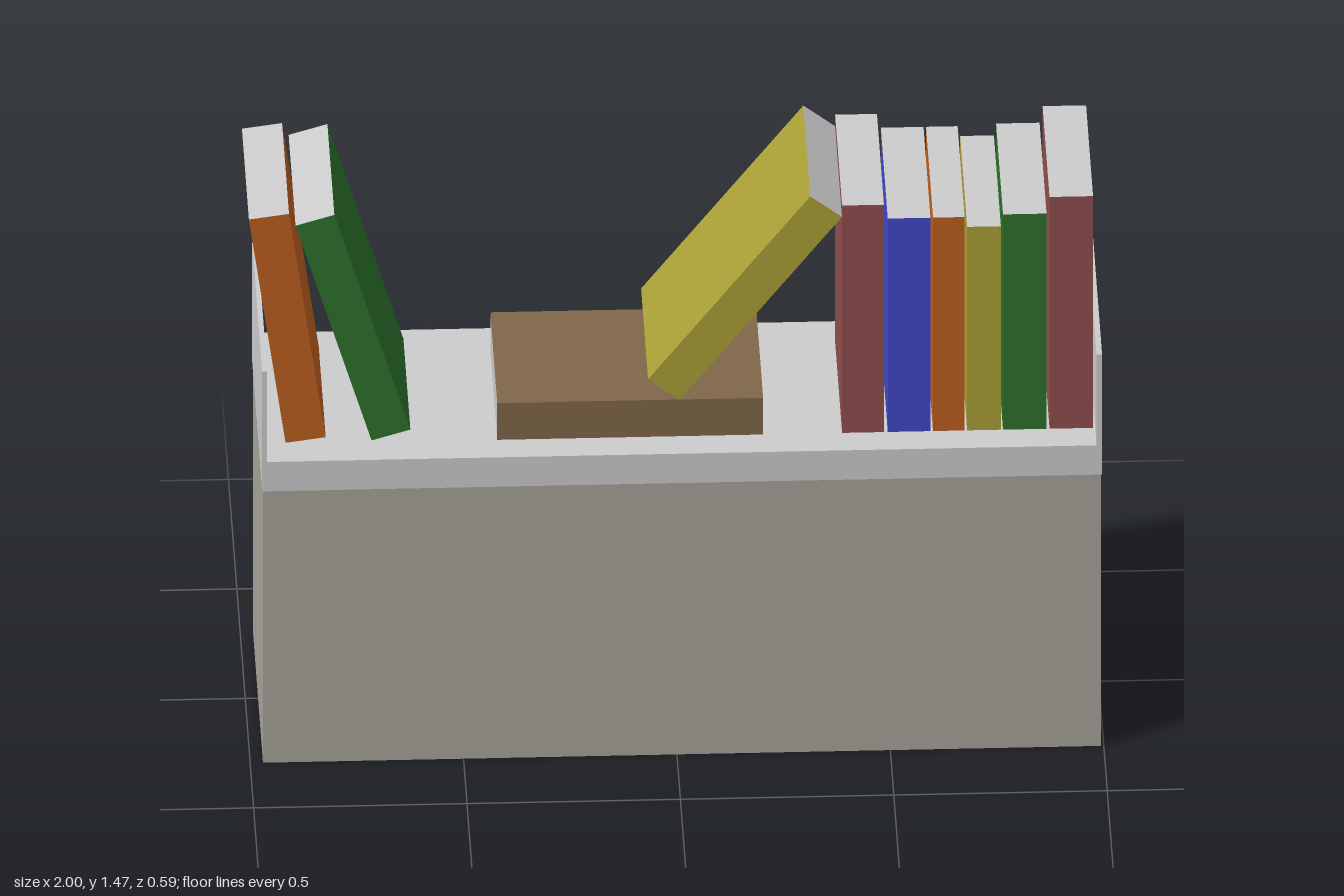
import * as THREE from 'three';

const material = (name, color) => {
  const m = new THREE.MeshStandardMaterial({ color });
  m.name = name;
  return m;
};

export function createModel() {
  const model = new THREE.Group();
  model.name = 'bookShelf';

  const paper = material('lightGrey', 0xcccccc);
  const stone = material('warmGrey', 0xa6a399);
  const red = material('red', 0x904e4e);
  const blue = material('blue', 0x4147c8);
  const orange = material('orange', 0xbd5f20);
  const yellow = material('yellow', 0xaa9f36);
  const green = material('green', 0x2c722d);
  const brown = material('brown', 0x7f6749);

  // Box given by its x and y limits, spanning the full depth of the shelf
  const block = (name, x0, x1, y0, y1, mat) => {
    const mesh = new THREE.Mesh(new THREE.BoxGeometry(x1 - x0, y1 - y0, 0.59), mat);
    mesh.name = name;
    mesh.position.set((x0 + x1) / 2, (y0 + y1) / 2, 0);
    model.add(mesh);
  };

  // Base, board and the two end panels
  block('base', -0.97, 0.994, 0, 0.74, stone);
  block('shelfBoard', -0.96, 0.983, 0.74, 0.82, paper);
  block('rightEndPanel', -0.972, -0.96, 0.74, 1.067, paper);
  block('leftEndPanel', 0.983, 0.996, 0.74, 1.067, paper);

  // Book standing on the middle of its lower edge: coloured covers and spine, pale pages
  const book = (name, x, y, width, height, cover, tilt = 0) => {
    const geometry = new THREE.BoxGeometry(width, height, 0.415).translate(0, height / 2, 0);
    const mesh = new THREE.Mesh(geometry, [cover, cover, paper, paper, cover, paper]);
    mesh.name = name;
    mesh.position.set(x, y, 0.0075);
    mesh.rotation.z = THREE.MathUtils.degToRad(tilt);
    model.add(mesh);
  };

  // Row of upright books: name, x limits, top, cover
  [
    ['firstRedBook', 0.39, 0.488, 1.44, red],
    ['blueBook', 0.497, 0.597, 1.402, blue],
    ['orangeBook', 0.603, 0.677, 1.402, orange],
    ['yellowBook', 0.683, 0.762, 1.375, yellow],
    ['greenBook', 0.767, 0.869, 1.407, green],
    ['lastRedBook', 0.876, 0.978, 1.452, red],
  ].forEach(([name, x0, x1, top, cover]) =>
    book(name, (x0 + x1) / 2, 0.82, x1 - x0, top - 0.82, cover));

  // Leaning books and the one lying flat
  book('leaningOrangeBook', -0.867, 0.83, 0.095, 0.617, orange, 8);
  book('leaningGreenBook', -0.667, 0.839, 0.095, 0.616, green, 16.8);
  book('leaningYellowBook', -0.0275, 0.948, 0.094, 0.62, yellow, -37.8);
  book('flatBrownBook', 0.205, 0.87, 0.1, 0.623, brown, 90);

  return model;
}
